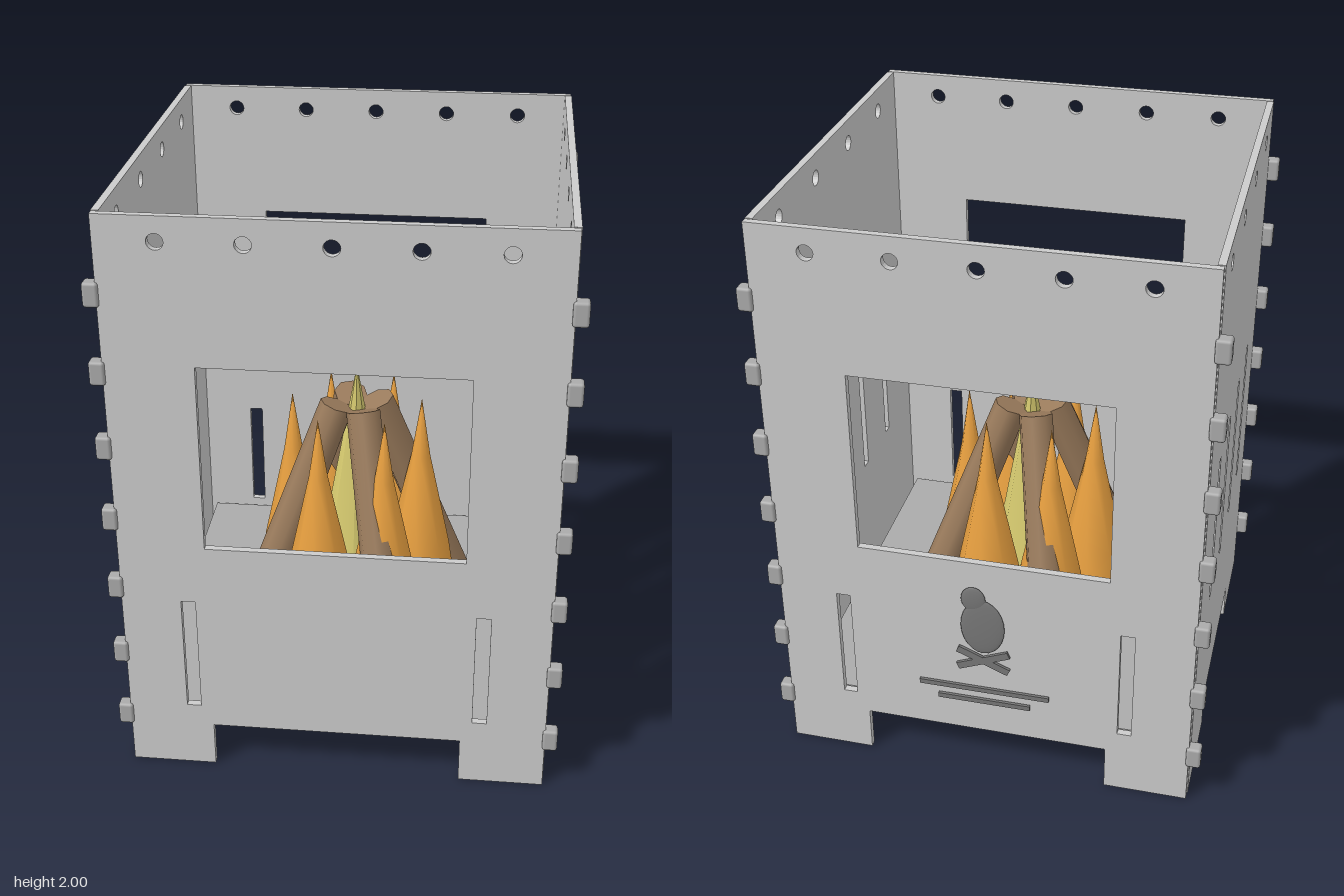
import * as THREE from 'three';
import { RoundedBoxGeometry } from 'three/addons/geometries/RoundedBoxGeometry.js';

const paint = (color) => new THREE.MeshStandardMaterial({ color });
const steel = paint(0xcccccc);
const darkSteel = paint(0xaaaaaa);
const iron = paint(0x777777);
const bark = paint(0x9a7b5c);
const orange = paint(0xe8a040);
const yellow = paint(0xd8cc70);

const THICK = 0.024;

function add(parent, name, geometry, material, x = 0, y = 0, z = 0) {
  const mesh = new THREE.Mesh(geometry, material);
  mesh.name = name;
  mesh.position.set(x, y, z);
  parent.add(mesh);
  return mesh;
}

function rectHole(x0, x1, y0, y1) {
  return new THREE.Path().moveTo(x0, y0).lineTo(x0, y1).lineTo(x1, y1).lineTo(x1, y0).closePath();
}

// Upright sheet with a cutout between the feet, rectangular openings and a row of round holes
function panelGeometry(halfWidth, cutHalf, cutHeight, rects, holeXs) {
  const s = new THREE.Shape();
  s.moveTo(-halfWidth, 0).lineTo(-cutHalf, 0).lineTo(-cutHalf, cutHeight).lineTo(cutHalf, cutHeight);
  s.lineTo(cutHalf, 0).lineTo(halfWidth, 0).lineTo(halfWidth, 2).lineTo(-halfWidth, 2).closePath();
  for (const r of rects) s.holes.push(rectHole(...r));
  for (const x of holeXs) s.holes.push(new THREE.Path().absarc(x, 1.92, 0.026, 0, Math.PI * 2, true));
  const g = new THREE.ExtrudeGeometry(s, { depth: THICK, bevelEnabled: false, curveSegments: 10 });
  return g.translate(0, 0, -THICK / 2);
}

function buildBox(group) {
  // Front and back sheets with a window and two vents
  const wide = panelGeometry(0.706, 0.42, 0.165, [
    [-0.42, 0.42, 0.875, 1.52], [-0.508, -0.46, 0.245, 0.668], [0.46, 0.508, 0.245, 0.668],
  ], [-0.518, -0.259, 0, 0.259, 0.518]);
  add(group, 'frontPanel', wide, steel, 0, 0, 0.697);
  add(group, 'backPanel', wide, steel, 0, 0, -0.697);

  // Side sheets with four tall vents
  const vents = [-0.387, -0.129, 0.129, 0.387].map((x) => [x - 0.021, x + 0.021, 0.63, 1.18]);
  const side = panelGeometry(0.68, 0.322, 0.13, vents, [-0.485, -0.16, 0.16, 0.485]);
  for (const sx of [-1, 1]) {
    add(group, sx > 0 ? 'leftPanel' : 'rightPanel', side, steel, sx * 0.697, 0, 0).rotation.y = Math.PI / 2;
  }

  // Corner tabs
  const tab = new RoundedBoxGeometry(0.05, 0.08, 0.048, 2, 0.01);
  for (const sx of [-1, 1]) for (const sz of [-1, 1]) for (let i = 0; i < 7; i++) {
    add(group, 'cornerTab', tab, darkSteel, sx * 0.722, 0.195 + i * 0.2585, sz * 0.696);
  }

  // Floor plate with two flat vent discs
  add(group, 'floorPlate', new THREE.BoxGeometry(1.32, 0.025, 1.32), darkSteel, 0, 0.2125, 0);
  for (const x of [-0.16, 0.16]) {
    add(group, 'ventRing', new THREE.CylinderGeometry(0.088, 0.088, 0.006, 24), darkSteel, x, 0.227, -0.387);
    add(group, 'ventDisc', new THREE.CylinderGeometry(0.065, 0.065, 0.006, 24), iron, x, 0.229, -0.387);
  }
}

function buildFire(group) {
  const fire = new THREE.Group();
  fire.name = 'campfire';
  group.add(fire);

  // Ring of six flames round a taller centre flame
  const profile = [[0.155, 0], [0.11, 0.29], [0.034, 0.645], [0, 0.87]].map((p) => new THREE.Vector2(...p));
  const flame = new THREE.LatheGeometry(profile, 8);
  for (let i = 0; i < 6; i++) {
    const a = (i * Math.PI) / 3;
    add(fire, 'flame', flame, orange, 0.23 * Math.cos(a), 0.225, 0.23 * Math.sin(a));
  }
  add(fire, 'centreFlame', new THREE.ConeGeometry(0.178, 0.99, 8), yellow, 0, 0.72, 0);

  // Four logs leaning together
  const up = new THREE.Vector3(0, 1, 0);
  for (let i = 0; i < 4; i++) {
    const a = THREE.MathUtils.degToRad(67.5 + i * 90);
    const foot = new THREE.Vector3(Math.cos(a) * 0.4, 0.25, Math.sin(a) * 0.4);
    const tip = new THREE.Vector3(Math.cos(a) * 0.075, 1.07, Math.sin(a) * 0.075);
    const dir = tip.clone().sub(foot);
    const log = add(fire, 'log', new THREE.CylinderGeometry(0.06, 0.069, dir.length(), 8), bark);
    log.position.copy(foot).add(tip).multiplyScalar(0.5);
    log.quaternion.setFromUnitVectors(up, dir.normalize());
  }
}

function buildOrnament(group) {
  // Small raised campfire ornament on the back sheet
  const ornament = new THREE.Group();
  ornament.name = 'backOrnament';
  ornament.position.z = -0.718;
  group.add(ornament);

  const ball = new THREE.SphereGeometry(1, 20, 12);
  add(ornament, 'ornamentFlame', ball, iron, 0, 0.625, 0).scale.set(0.075, 0.11, 0.008);
  add(ornament, 'ornamentFlameTip', ball, iron, 0.03, 0.735, 0).scale.set(0.042, 0.05, 0.007);
  for (const s of [-1, 1]) {
    add(ornament, 'ornamentLog', new THREE.BoxGeometry(0.19, 0.026, 0.01), iron, 0, 0.485, 0).rotation.z = s * 0.4;
  }
  add(ornament, 'upperBar', new THREE.BoxGeometry(0.45, 0.018, 0.01), iron, 0, 0.355, 0);
  add(ornament, 'lowerBar', new THREE.BoxGeometry(0.32, 0.018, 0.01), iron, 0, 0.305, 0);
}

export function createModel() {
  const group = new THREE.Group();
  group.name = 'fireBox';
  buildBox(group);
  buildFire(group);
  buildOrnament(group);
  return group;
}
